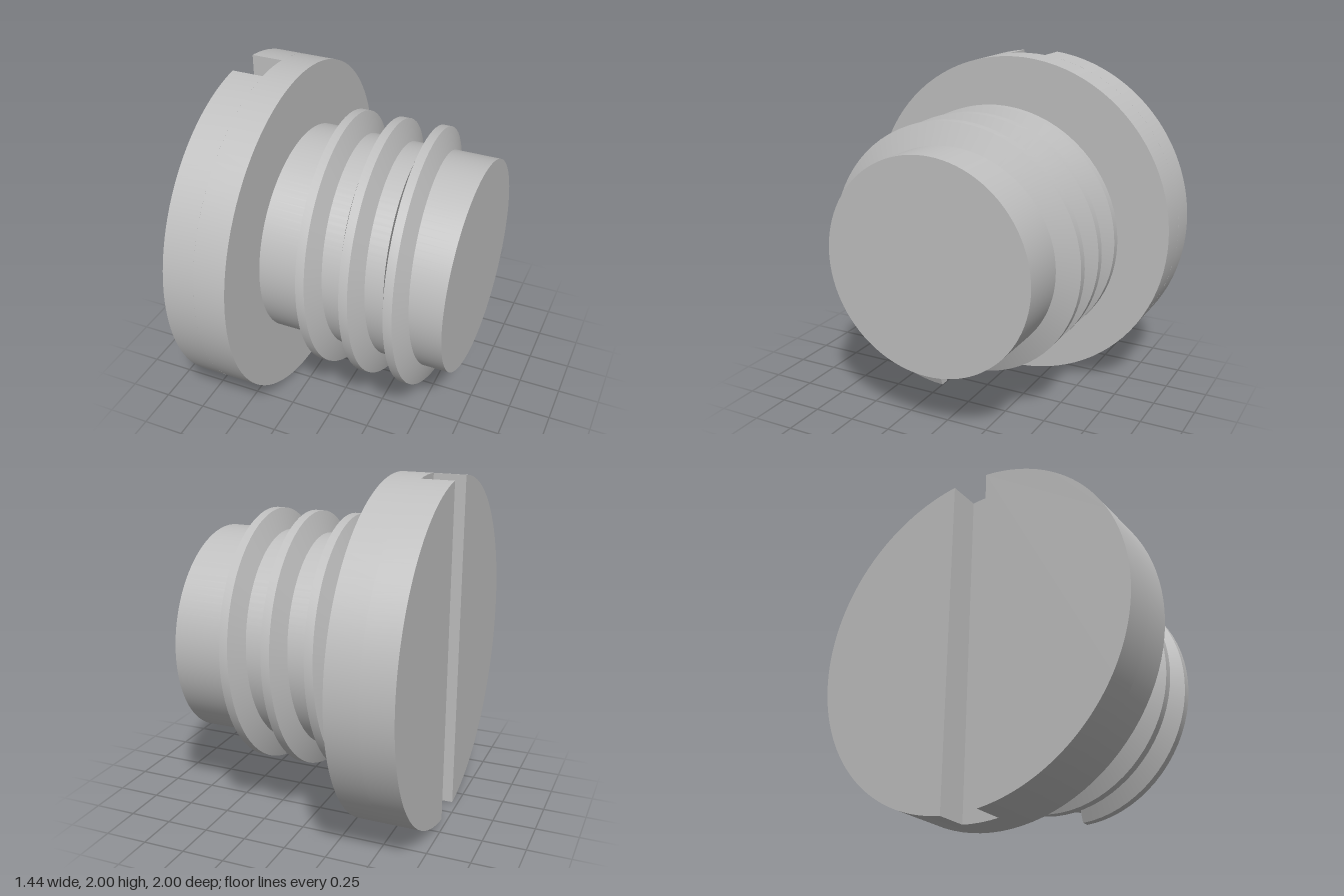
import * as THREE from 'three';
import { toCreasedNormals } from 'three/addons/utils/BufferGeometryUtils.js';

const HEAD_R = 1, SHAFT_R = 0.622, CREST_R = 0.747, AXIS_Y = 1;
const X_HEAD = -0.72, X_SLOT = -0.535, X_COLLAR = -0.348, X_TIP = 0.72;
const SLOT_HALF = 0.113;

// Cylinder lying along x between two stations
function rod(radius, x0, x1) {
  return new THREE.CylinderGeometry(radius, radius, x1 - x0, 96)
    .rotateZ(-Math.PI / 2).translate((x0 + x1) / 2, 0, 0);
}

// Half of the slotted face: a circular segment beside the slot
function headHalf(side) {
  const a = Math.acos(SLOT_HALF / HEAD_R);
  const mid = side > 0 ? 0 : Math.PI;
  const shape = new THREE.Shape();
  shape.absarc(0, 0, HEAD_R, mid - a, mid + a, false);
  shape.closePath();
  const geo = new THREE.ExtrudeGeometry(shape, {
    depth: X_SLOT - X_HEAD, bevelEnabled: false, curveSegments: 48,
  });
  geo.rotateY(Math.PI / 2).translate(X_HEAD, 0, 0);
  return toCreasedNormals(geo, 0.5);
}

// Trapezoid profile swept along a helix, starting and ending at the bottom
function threadGeometry(startX, pitch, turns) {
  const profile = [[-0.073, SHAFT_R - 0.004], [-0.025, CREST_R], [0.025, CREST_R], [0.073, SHAFT_R - 0.004]];
  const steps = turns * 72;
  const pos = [], index = [];
  for (let i = 0; i <= steps; i++) {
    const turn = (i / steps) * turns, t = turn * Math.PI * 2;
    for (const [dx, r] of profile) {
      pos.push(startX + pitch * turn + dx, -r * Math.cos(t), -r * Math.sin(t));
    }
  }
  for (let i = 0; i < steps; i++) {
    for (let j = 0; j < 3; j++) {
      const a = i * 4 + j, b = a + 4;
      index.push(a, b, b + 1, a, b + 1, a + 1);
    }
  }
  // end caps
  const e = steps * 4;
  index.push(0, 1, 2, 0, 2, 3, e, e + 2, e + 1, e, e + 3, e + 2);
  const geo = new THREE.BufferGeometry();
  geo.setAttribute('position', new THREE.Float32BufferAttribute(pos, 3));
  geo.setIndex(index);
  return toCreasedNormals(geo, 0.5);
}

export function createModel() {
  const metal = new THREE.MeshStandardMaterial({ name: 'greyMetal', color: 0xc0c0c0 });
  const model = new THREE.Group();
  model.name = 'slottedScrewPlug';

  const add = (name, geometry) => {
    const mesh = new THREE.Mesh(geometry, metal);
    mesh.name = name;
    mesh.position.y = AXIS_Y;
    model.add(mesh);
  };

  // Head with a screwdriver slot across its outer face
  add('headDisc', rod(HEAD_R, X_SLOT, X_COLLAR));
  add('headHalfBack', headHalf(1));
  add('headHalfFront', headHalf(-1));

  // Plain shaft and its three-turn thread
  add('shaft', rod(SHAFT_R, X_COLLAR, X_TIP));
  add('thread', threadGeometry(-0.222, 0.25, 3));

  return model;
}
